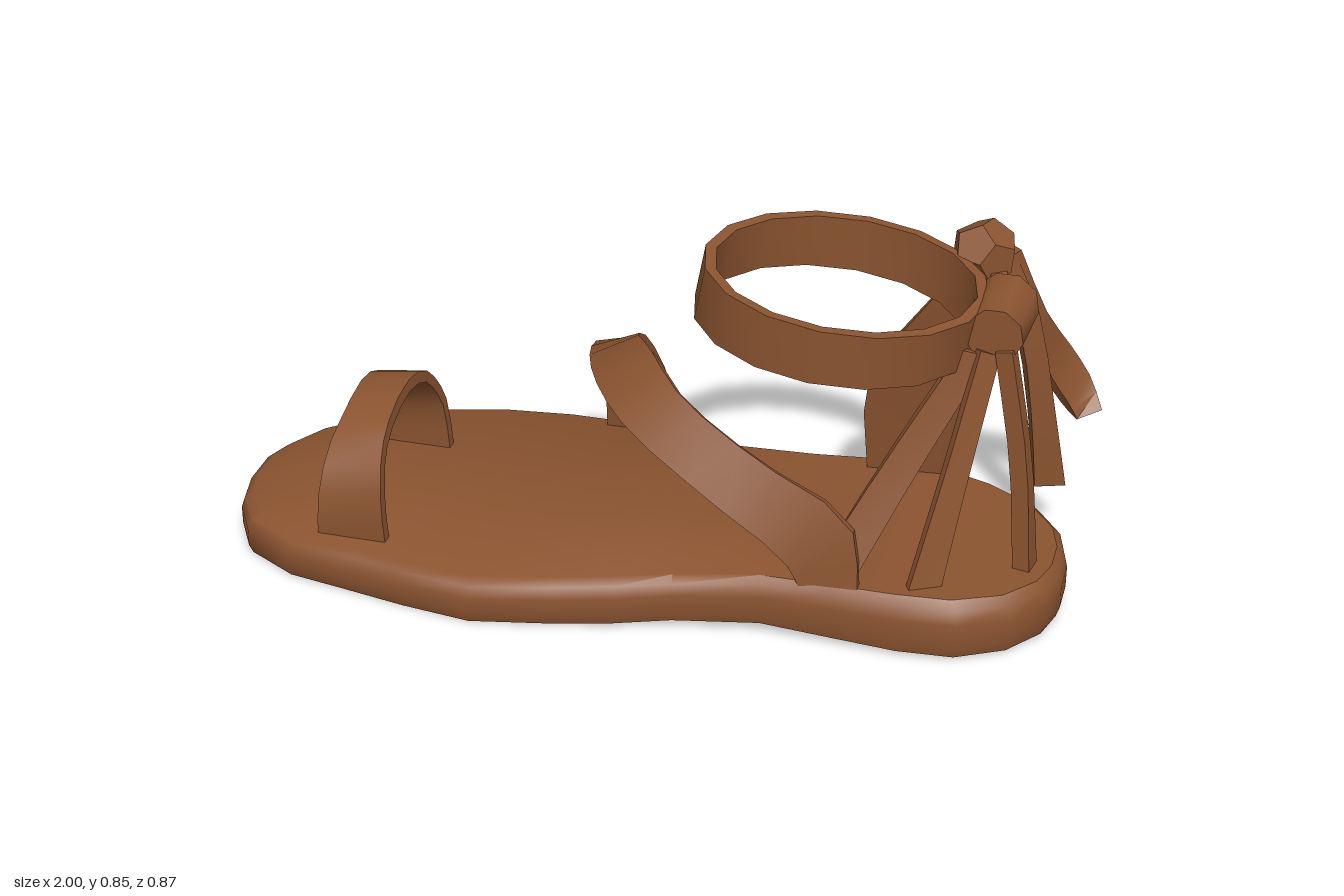
import * as THREE from 'three';
import { toCreasedNormals } from 'three/addons/utils/BufferGeometryUtils.js';

const leather = new THREE.MeshStandardMaterial({ color: 0x8b5430 });
leather.name = 'brown leather';

// Skin a list of cross-section rings (Vector3 loops, counterclockwise about the path)
function loft(rings, { closed = false, caps = true, crease = 0.6 } = {}) {
  const pos = [];
  const tri = (a, b, c) => pos.push(...a.toArray(), ...b.toArray(), ...c.toArray());
  const n = rings[0].length;
  const last = closed ? rings.length : rings.length - 1;
  for (let i = 0; i < last; i++) {
    const p = rings[i], q = rings[(i + 1) % rings.length];
    for (let j = 0; j < n; j++) {
      const k = (j + 1) % n;
      tri(p[j], p[k], q[k]);
      tri(p[j], q[k], q[j]);
    }
  }
  if (caps && !closed) {
    const s = rings[0], e = rings[rings.length - 1];
    for (let j = 1; j < n - 1; j++) {
      tri(s[0], s[j + 1], s[j]);
      tri(e[0], e[j], e[j + 1]);
    }
  }
  const g = new THREE.BufferGeometry();
  g.setAttribute('position', new THREE.Float32BufferAttribute(pos, 3));
  return toCreasedNormals(g, crease);
}

// Flat strap between two edges; each row is [ax, ay, az, bx, by, bz]
function strap(rows, thick = 0.025, steps = 14, closed = false) {
  const edge = (o) => new THREE.CatmullRomCurve3(
    rows.map((r) => new THREE.Vector3(r[o], r[o + 1], r[o + 2])), closed, 'centripetal');
  const ea = edge(0), eb = edge(3);
  const rings = [];
  for (let i = 0; i < (closed ? steps : steps + 1); i++) {
    const t = i / steps;
    const a = ea.getPoint(t), b = eb.getPoint(t);
    const n = ea.getTangent(t).add(eb.getTangent(t)).cross(b.clone().sub(a)).setLength(thick / 2);
    rings.push([a.clone().sub(n), b.clone().sub(n), b.clone().add(n), a.clone().add(n)]);
  }
  return loft(rings, { closed });
}

// Piecewise linear height lookup
function lerpTable(table, x) {
  for (let i = 1; i < table.length; i++) {
    const [x0, y0] = table[i - 1], [x1, y1] = table[i];
    if (x <= x1) return THREE.MathUtils.lerp(y0, y1, THREE.MathUtils.clamp((x - x0) / (x1 - x0), 0, 1));
  }
  return table[table.length - 1][1];
}

function soleGeometry() {
  // Stations along the length: x, inner edge z, outer edge z
  const stations = [
    [-1, -0.01, 0.1], [-0.98, -0.07, 0.19], [-0.925, -0.175, 0.285], [-0.8, -0.3, 0.355], [-0.66, -0.37, 0.38],
    [-0.5, -0.415, 0.41], [-0.33, -0.428, 0.435], [-0.15, -0.41, 0.405], [0, -0.375, 0.37], [0.13, -0.335, 0.335],
    [0.33, -0.325, 0.3], [0.5, -0.34, 0.305], [0.65, -0.33, 0.31], [0.78, -0.285, 0.295], [0.89, -0.215, 0.235],
    [0.957, -0.12, 0.145], [0.98, -0.03, 0.06],
  ];
  const outline = [
    ...stations.map(([x, , z]) => [x, z]),
    ...stations.map(([x, z]) => [x, z]).reverse(),
  ];
  const low = [[-1, 0.005], [-0.4, 0], [0, 0.012], [0.25, 0.03], [0.5, 0.018], [0.75, 0.008], [1, 0.01]];
  const high = [[-1, 0.11], [-0.7, 0.105], [-0.4, 0.105], [0, 0.125], [0.35, 0.145], [0.65, 0.15], [1, 0.14]];
  // lengthwise inset, crosswise inset, height fraction; first and last rings close on a spine
  const levels = [[0.15, 1, 0], [0.008, 0.02, 0], [0, 0, 0.2], [0, 0, 0.62], [0.008, 0.025, 0.86],
    [0.027, 0.08, 1], [0.15, 1, 1]];
  const rings = levels.map(([ix, iz, f]) => outline.map(([x, z]) => {
    const px = x * (1 - ix);
    return new THREE.Vector3(px, THREE.MathUtils.lerp(lerpTable(low, px), lerpTable(high, px), f), z * (1 - iz));
  }));
  return loft(rings, { caps: false, crease: 0.7 });
}

export function createModel() {
  const model = new THREE.Group();
  model.name = 'sandal';
  const add = (name, geometry) => {
    const m = new THREE.Mesh(geometry, leather);
    m.name = name;
    model.add(m);
    return m;
  };

  add('sole', soleGeometry());

  // Toe strap: arch of z, y, half width
  const arch = [[0.295, 0.09, 0.084], [0.295, 0.2, 0.078], [0.25, 0.295, 0.068], [0.16, 0.345, 0.06],
    [0.04, 0.37, 0.06], [-0.06, 0.345, 0.062], [-0.13, 0.28, 0.066], [-0.165, 0.21, 0.074], [-0.17, 0.09, 0.084]];
  add('toeStrap', strap(arch.map(([z, y, w]) => [-0.652 - w, y - 0.008, z, -0.652 + w, y + 0.008, z]), 0.028));

  // Diagonal strap over the instep
  add('instepStrap', strap([
    [-0.22, 0.1, -0.37, -0.04, 0.1, -0.362],
    [-0.22, 0.27, -0.35, -0.055, 0.26, -0.33],
    [-0.213, 0.385, -0.26, -0.08, 0.42, -0.24],
    [-0.185, 0.435, -0.11, -0.065, 0.5, -0.11],
    [-0.12, 0.445, 0.045, 0.005, 0.535, 0.02],
    [-0.02, 0.41, 0.16, 0.1, 0.49, 0.125],
    [0.19, 0.31, 0.25, 0.29, 0.4, 0.2],
    [0.38, 0.19, 0.275, 0.52, 0.29, 0.245],
    [0.42, 0.12, 0.275, 0.55, 0.13, 0.275],
  ], 0.025, 18));

  // Ankle band, tilted down to the heel and to the outer side
  const band = [];
  for (let i = 0; i < 16; i++) {
    const a = (i / 16) * Math.PI * 2;
    const x = 0.43 + 0.31 * Math.cos(a), z = 0.258 * Math.sin(a);
    const y = 0.753 - 0.085 * (x - 0.12) - 0.06 * z;
    band.push([x - 0.012, y - 0.064, z, x + 0.012, y + 0.064, z]);
  }
  add('ankleBand', strap(band, 0.026, 16, true));

  // Rolled loop at the heel
  const loop = add('heelLoop', toCreasedNormals(new THREE.CylinderGeometry(0.066, 0.076, 0.17, 9), 0.8));
  loop.rotation.x = Math.PI / 2;
  loop.position.set(0.79, 0.712, -0.015);
  add('loopBridge', strap([[0.78, 0.65, -0.08, 0.79, 0.73, -0.08], [0.74, 0.66, -0.21, 0.75, 0.75, -0.21]], 0.04, 3));

  // Straps that tie the band to the sole
  add('outerFrontStrap', strap([
    [0.72, 0.68, 0.085, 0.78, 0.66, 0.06],
    [0.57, 0.41, 0.18, 0.65, 0.4, 0.16],
    [0.42, 0.12, 0.275, 0.52, 0.12, 0.27]], 0.022, 5));
  add('outerRearStrap', strap([
    [0.76, 0.68, 0.08, 0.8, 0.66, 0.055],
    [0.71, 0.41, 0.165, 0.76, 0.4, 0.135],
    [0.65, 0.12, 0.26, 0.72, 0.12, 0.22]], 0.022, 5));
  add('heelStrap', strap([
    [0.815, 0.68, 0.08, 0.82, 0.68, 0.045],
    [0.865, 0.41, 0.09, 0.87, 0.41, 0.045],
    [0.89, 0.12, 0.1, 0.9, 0.12, 0.045]], 0.04, 5));
  add('innerStrap', strap([
    [0.65, 0.71, -0.21, 0.75, 0.7, -0.2],
    [0.46, 0.4, -0.25, 0.72, 0.4, -0.25],
    [0.46, 0.12, -0.28, 0.7, 0.12, -0.295]], 0.024, 6));

  // Knot with two hanging tails
  const knot = add('knot', toCreasedNormals(new THREE.DodecahedronGeometry(0.08, 0), 0.1));
  knot.position.set(0.715, 0.772, -0.228);
  knot.rotation.set(0.3, 0.2, 0.4);
  add('longTail', strap([
    [0.74, 0.75, -0.2, 0.78, 0.77, -0.24],
    [0.8, 0.6, -0.23, 0.84, 0.62, -0.265],
    [0.84, 0.36, -0.26, 0.89, 0.37, -0.29],
    [0.86, 0.15, -0.285, 0.93, 0.15, -0.31]], 0.024, 6));
  add('shortTail', strap([
    [0.75, 0.76, -0.21, 0.79, 0.78, -0.25],
    [0.82, 0.58, -0.265, 0.85, 0.6, -0.31],
    [0.87, 0.42, -0.325, 0.9, 0.47, -0.405],
    [0.91, 0.35, -0.345, 0.95, 0.385, -0.425],
    [0.94, 0.3, -0.36, 0.995, 0.32, -0.385]], 0.024, 8));

  return model;
}
